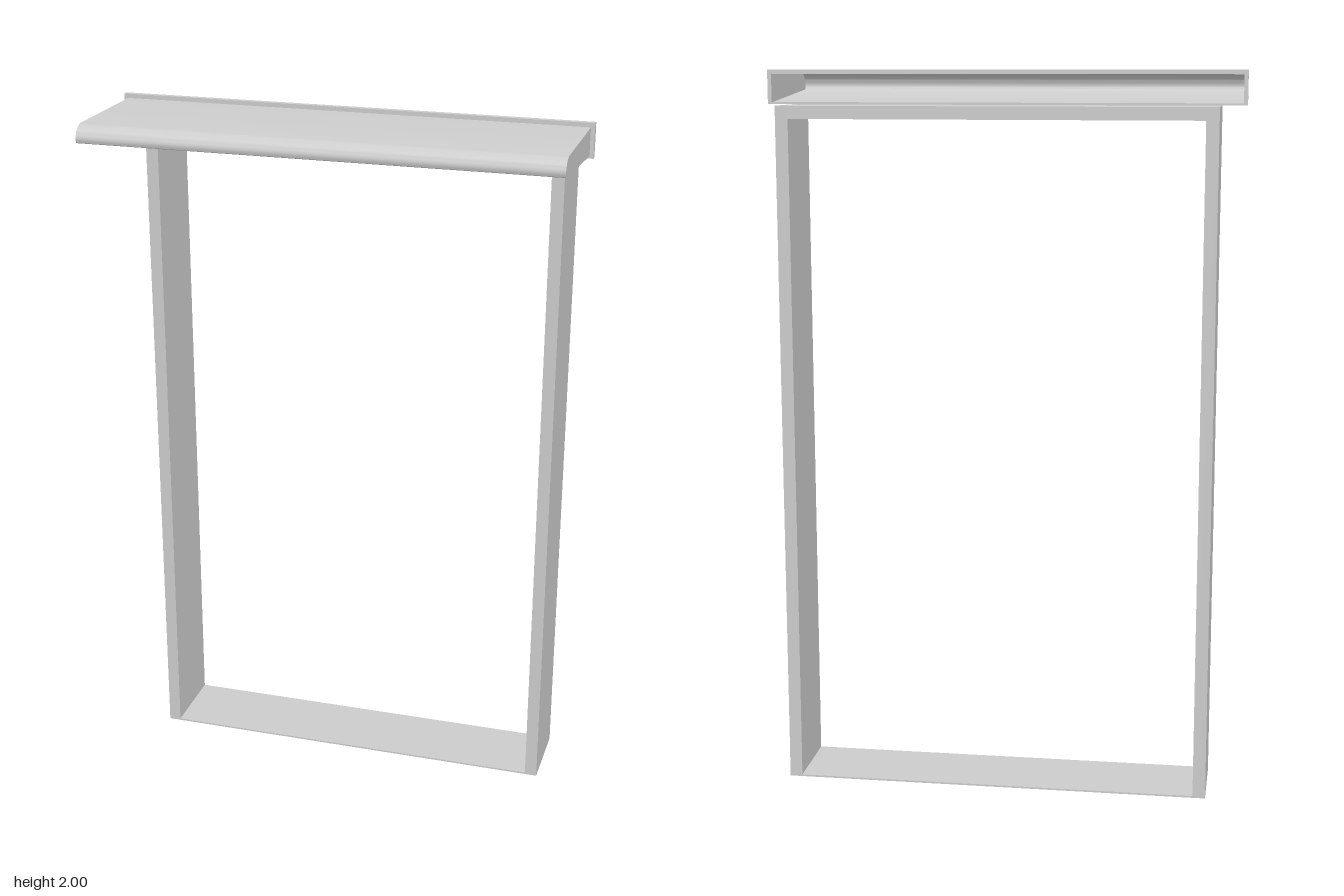
import * as THREE from 'three';
import { toCreasedNormals } from 'three/addons/utils/BufferGeometryUtils.js';

const solid = new THREE.MeshStandardMaterial({ color: 0xcccccc });
const sheet = new THREE.MeshStandardMaterial({ color: 0xcccccc, side: THREE.DoubleSide });

function addMesh(group, name, geometry, material = solid) {
  const mesh = new THREE.Mesh(geometry, material);
  mesh.name = name;
  group.add(mesh);
  return mesh;
}

// Box given by its minimum and maximum corners
function box([x0, y0, z0], [x1, y1, z1]) {
  return new THREE.BoxGeometry(x1 - x0, y1 - y0, z1 - z0)
    .translate((x0 + x1) / 2, (y0 + y1) / 2, (z0 + z1) / 2);
}

// Drops the triangles lying wholly in the plane axis = value
function openSide(geometry, axis, value) {
  const g = geometry.index ? geometry.toNonIndexed() : geometry;
  const p = g.attributes.position.array;
  const kept = [];
  for (let i = 0; i < p.length; i += 9) {
    const flat = [0, 3, 6].every((k) => Math.abs(p[i + k + axis] - value) < 1e-5);
    if (!flat) kept.push(...p.slice(i, i + 9));
  }
  const out = new THREE.BufferGeometry();
  out.setAttribute('position', new THREE.Float32BufferAttribute(kept, 3));
  out.computeVertexNormals();
  return out;
}

export function createModel() {
  const model = new THREE.Group();
  model.name = 'doorFrameWithCanopy';

  const halfW = 0.595, inner = 0.56, top = 1.905, back = -0.28, front = -0.057;

  // Door lining: two hollow jambs open at the foot, a header and a thin sill
  const frame = new THREE.Group();
  frame.name = 'doorFrame';
  for (const [name, a, b] of [['leftJamb', inner, halfW], ['rightJamb', -halfW, -inner]]) {
    addMesh(frame, name, openSide(box([a, 0, back], [b, top, front]), 1, 0), sheet);
  }
  addMesh(frame, 'header', box([-inner, 1.87, back], [inner, top, front]));
  addMesh(frame, 'sill', box([-inner, 0, back], [inner, 0.005, front]));
  model.add(frame);

  // Canopy: tapered hollow shell with a rounded nose, open at the back
  const canopy = new THREE.Group();
  canopy.name = 'canopy';
  const wall = -0.082, width = 1.306;
  const profile = new THREE.Shape();
  profile.moveTo(wall, 1.911);
  profile.lineTo(0.275, 1.94);
  profile.quadraticCurveTo(0.282, 1.941, 0.282, 1.949);
  profile.bezierCurveTo(0.282, 1.972, 0.264, 1.988, 0.242, 1.988);
  profile.lineTo(wall, 1.988);
  const shell = new THREE.ExtrudeGeometry(profile, { depth: width, bevelEnabled: false, curveSegments: 10 })
    .rotateY(-Math.PI / 2)
    .translate(width / 2, 0, 0);
  addMesh(canopy, 'canopyShell', toCreasedNormals(openSide(shell, 2, wall), 0.6), sheet);

  // Thin rectangular rim round the open back of the canopy
  const rectangle = (Type, x, y0, y1) => new Type([[-x, y0], [x, y0], [x, y1], [-x, y1]]
    .map(([px, py]) => new THREE.Vector2(px, py)));
  const rim = rectangle(THREE.Shape, 0.664, 1.905, 2);
  rim.holes.push(rectangle(THREE.Path, 0.653, 1.911, 1.988));
  addMesh(canopy, 'canopyRim', new THREE.ExtrudeGeometry(rim, { depth: 0.016, bevelEnabled: false })
    .translate(0, 0, -0.098));
  model.add(canopy);

  return model;
}
